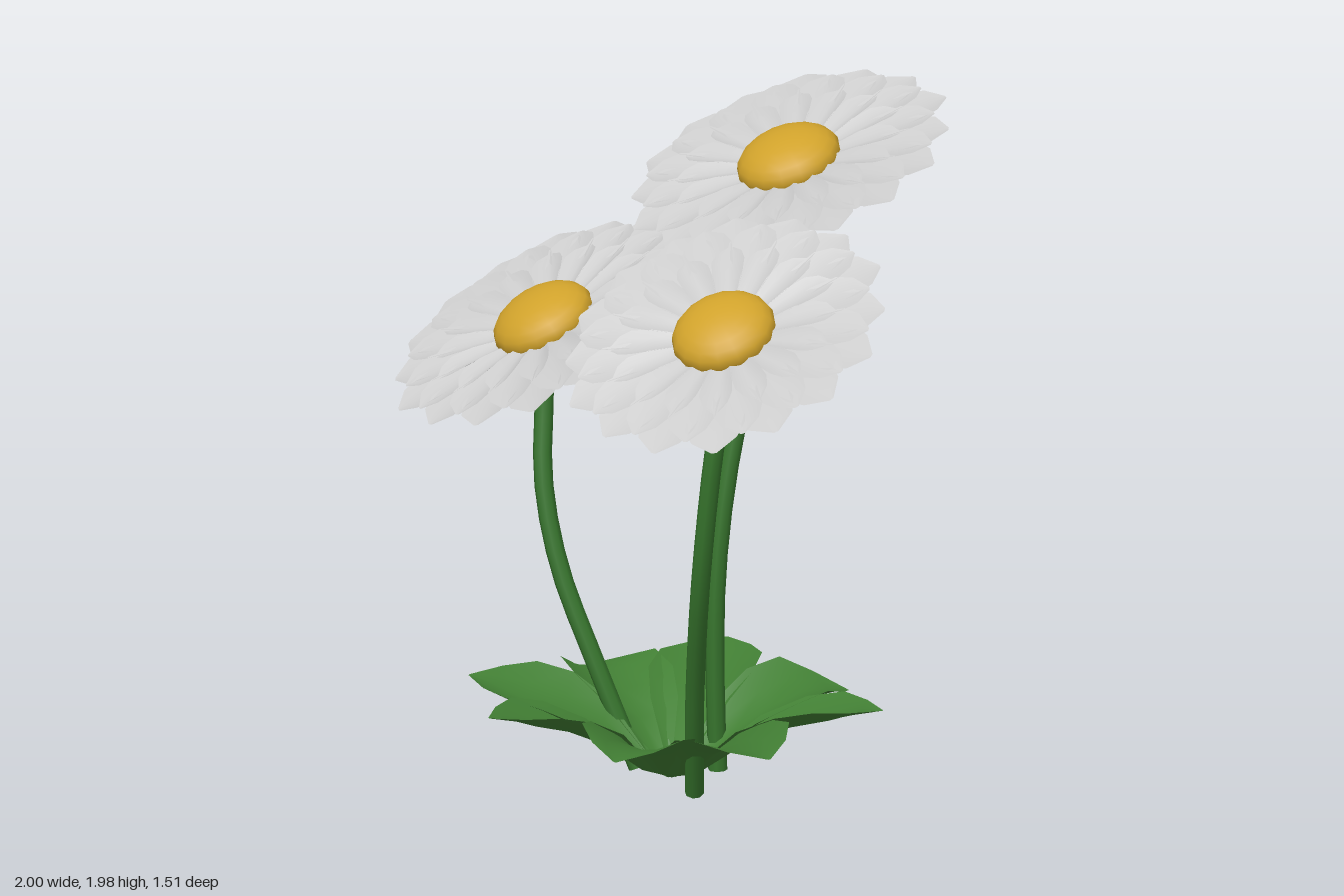
import * as THREE from 'three';
import { mergeGeometries } from 'three/addons/utils/BufferGeometryUtils.js';

const petalMat = new THREE.MeshStandardMaterial({ color: 0xcccccc, side: THREE.DoubleSide });
const stemMat = new THREE.MeshStandardMaterial({ color: 0x37752d });
const leafMat = new THREE.MeshStandardMaterial({ color: 0x427f34, side: THREE.DoubleSide });
const domeMat = new THREE.MeshStandardMaterial({ color: 0xd0a22b });
const underMat = new THREE.MeshStandardMaterial({ color: 0xb87318 });

// Curved blade along +x; each section is [distance, height, half width, edge lift]
function blade(sections, columns = 4) {
  const pos = [], index = [], row = columns + 1;
  sections.forEach(([d, h, w, lift], i) => {
    for (let j = 0; j <= columns; j++) {
      const t = (j / columns) * 2 - 1;
      pos.push(d, h + lift * t * t, w * t);
      if (i && j) {
        const b = i * row + j, a = b - row;
        index.push(b - 1, a - 1, a, b - 1, a, b);
      }
    }
  });
  const g = new THREE.BufferGeometry();
  g.setAttribute('position', new THREE.Float32BufferAttribute(pos, 3));
  g.setIndex(index);
  g.computeVertexNormals();
  return g;
}

// One ring of cupped petals
function petalRing(count, length, width, height, tilt, turn) {
  const petals = [];
  for (let i = 0; i < count; i++) {
    const L = length * (1 + 0.012 * Math.sin(i * 2.4)), w = width;
    const g = blade([
      [0.07, -0.022, w * 0.25, 0],
      [L * 0.42, -0.01, w * 0.6, 0.01],
      [L * 0.62, -0.004, w * 0.9, 0.016],
      [L * 0.8, 0, w, 0.016],
      [L * 0.91, 0, w * 0.75, 0.01],
      [L, 0, w * 0.08, 0],
    ]);
    g.rotateZ(tilt);
    g.translate(0, height, 0);
    g.rotateY(((i + turn) / count) * Math.PI * 2);
    petals.push(g);
  }
  return mergeGeometries(petals);
}

function mesh(name, geometry, material) {
  const m = new THREE.Mesh(geometry, material);
  m.name = name;
  return m;
}

// Flower head facing along its local y axis
function flowerHead() {
  const head = new THREE.Group();
  head.name = 'flowerHead';
  head.add(
    mesh('outerPetals', petalRing(16, 0.49, 0.092, -0.012, 0, 0), petalMat),
    mesh('middlePetals', petalRing(16, 0.45, 0.075, -0.004, 0.012, 0.5), petalMat),
    mesh('innerPetals', petalRing(16, 0.35, 0.05, 0, 0.03, 0), petalMat),
  );
  // centre button, split into a lighter top and a darker underside
  const split = Math.PI * 0.56;
  const button = (start, length) =>
    new THREE.SphereGeometry(0.157, 16, 7, 0, Math.PI * 2, start, length).scale(1, 0.52, 1);
  head.add(
    mesh('flowerCentre', button(0, split), domeMat),
    mesh('flowerBase', button(split, Math.PI - split), underMat),
  );
  return head;
}

export function createModel() {
  const model = new THREE.Group();
  model.name = 'daisyPlant';

  // Stem path points from the ground up; the last one is the flower centre
  const flowers = [
    { name: 'backFlower', normal: [0, 0.93, 0.37],
      path: [[0, 0.02, -0.04], [0, 0.3, -0.03], [0, 0.6, -0.035], [0, 0.9, -0.075],
        [0, 1.4, -0.2], [0, 1.82, -0.3]] },
    { name: 'leftFlower', normal: [0.17, 0.86, 0.48],
      path: [[0.15, 0.02, 0.16], [0.27, 0.35, 0.25], [0.41, 0.75, 0.335], [0.475, 1.1, 0.345],
        [0.5, 1.35, 0.325], [0.515, 1.525, 0.33]] },
    { name: 'rightFlower', normal: [-0.1, 0.88, 0.47],
      path: [[-0.16, 0.02, 0.13], [-0.27, 0.32, 0.2], [-0.38, 0.6, 0.25], [-0.45, 0.85, 0.255],
        [-0.49, 1.1, 0.22], [-0.515, 1.305, 0.205]] },
  ];
  const up = new THREE.Vector3(0, 1, 0);
  for (const { name, normal, path } of flowers) {
    const flower = new THREE.Group();
    flower.name = name;
    const pts = path.map((p) => new THREE.Vector3(...p));
    const curve = new THREE.CatmullRomCurve3(pts);
    flower.add(mesh('stem', new THREE.TubeGeometry(curve, 14, 0.028, 8), stemMat));
    // flat cap at the foot of the stem
    const cap = mesh('stemFoot', new THREE.CircleGeometry(0.028, 8), stemMat);
    cap.position.copy(pts[0]);
    cap.quaternion.setFromUnitVectors(new THREE.Vector3(0, 0, 1), curve.getTangent(0).negate());
    flower.add(cap);
    const head = flowerHead();
    head.position.copy(pts[pts.length - 1]);
    head.quaternion.setFromUnitVectors(up, new THREE.Vector3(...normal).normalize());
    flower.add(head);
    model.add(flower);
  }

  // Rosette of leaves: [length, tip height, roll], one leaf every 45 degrees
  const rosette = new THREE.Group();
  rosette.name = 'leafRosette';
  rosette.position.set(0, 0, 0.13);
  const leaves = [[0.59, 0.28, 0.05], [0.6, 0.24, -0.08], [0.65, 0.25, 0.06], [0.64, 0.28, -0.06],
    [0.57, 0.22, 0.08], [0.58, 0.29, -0.05], [0.59, 0.21, 0.06], [0.61, 0.29, -0.08]];
  leaves.forEach(([L, tip, roll], i) => {
    const angle = THREE.MathUtils.degToRad(-100 + i * 45);
    const leaf = mesh('leaf', blade([
      [0.01, 0.03, 0.02, 0.01],
      [L * 0.16, 0.06, 0.05, 0.03],
      [L * 0.36, 0.15, 0.12, 0.055],
      [L * 0.56, 0.205, 0.16, 0.06],
      [L * 0.74, 0.235, 0.155, 0.055],
      [L * 0.88, (0.25 + tip) / 2, 0.095, 0.02],
      [L, tip, 0.004, 0],
    ]), leafMat);
    leaf.rotation.set(roll, angle, 0, 'YXZ');
    // short pointed bract between the leaf bases
    const bract = mesh('bract', blade([
      [0.01, 0.03, 0.015, 0],
      [0.06, 0.05, 0.02, 0.01],
      [0.11, 0.11, 0.002, 0],
    ], 2), leafMat);
    bract.rotation.y = angle + Math.PI / 8;
    rosette.add(leaf, bract);
  });
  model.add(rosette);
  return model;
}
